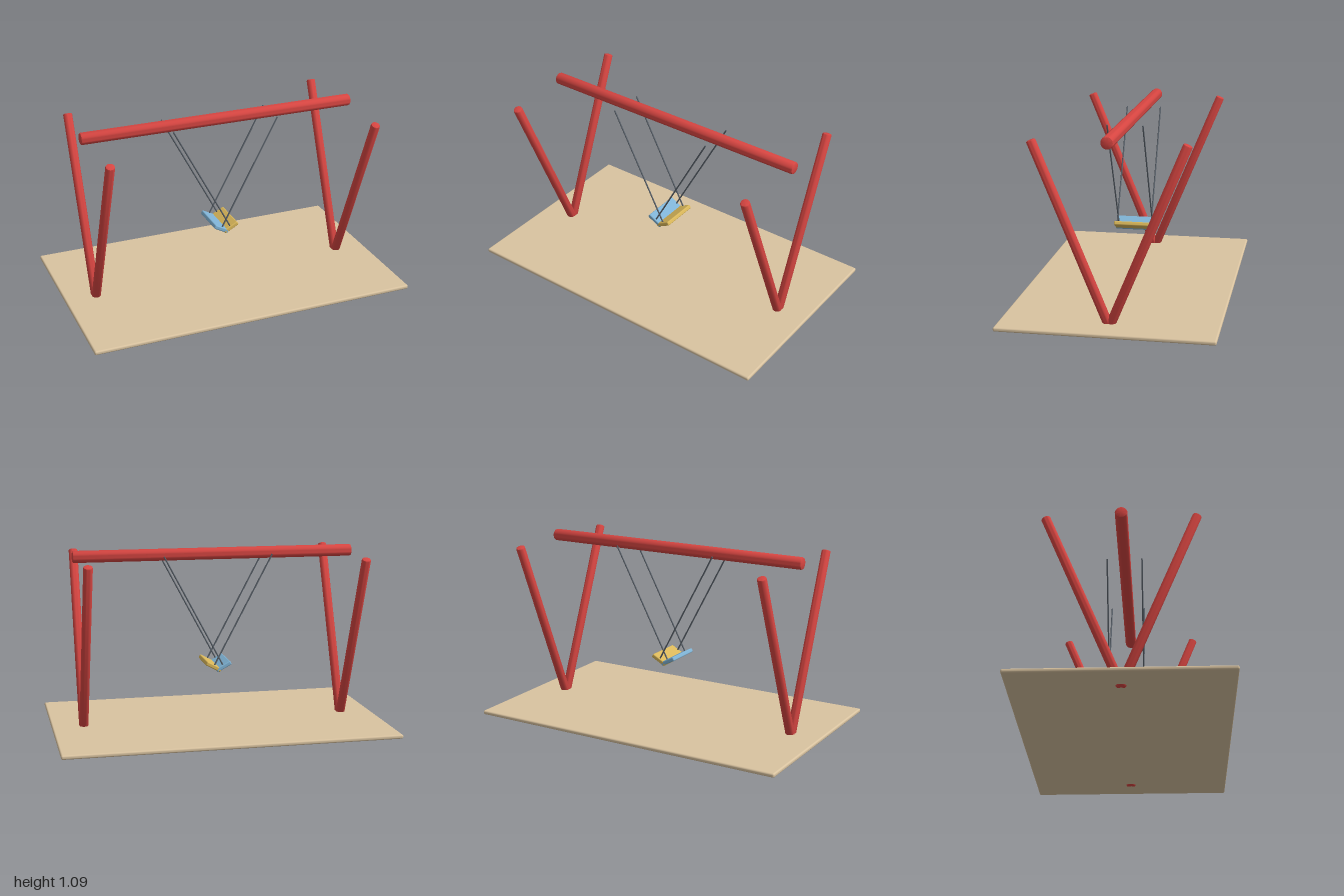
import * as THREE from 'three';
import { RoundedBoxGeometry } from 'three/addons/geometries/RoundedBoxGeometry.js';
import { toCreasedNormals } from 'three/addons/utils/BufferGeometryUtils.js';

const material = (name, color) => {
  const m = new THREE.MeshStandardMaterial({ color });
  m.name = name;
  return m;
};

export function createModel() {
  const red = material('red paint', 0xd64541);
  const sand = material('sand', 0xd9c3a0);
  const blue = material('blue seat', 0x7fb3d5);
  const yellow = material('yellow seat', 0xd9b75a);
  const steel = material('rope grey', 0x5a626b);

  const group = new THREE.Group();
  group.name = 'swingSet';

  const add = (parent, name, geometry, mat, x = 0, y = 0, z = 0) => {
    const mesh = new THREE.Mesh(geometry, mat);
    mesh.name = name;
    mesh.position.set(x, y, z);
    parent.add(mesh);
    return mesh;
  };

  // Round pole between two points, with softly bevelled ends
  const pole = (name, from, to, r, bevel) => {
    const half = from.distanceTo(to) / 2;
    const b = bevel;
    const profile = [
      [0, -half], [r - b, -half], [r - b * 0.3, -half + b * 0.3], [r, -half + b],
      [r, half - b], [r - b * 0.3, half - b * 0.3], [r - b, half], [0, half],
    ].map(([x, y]) => new THREE.Vector2(x, y));
    const geometry = toCreasedNormals(new THREE.LatheGeometry(profile, 24), 0.7);
    const mesh = add(group, name, geometry, red);
    mesh.position.copy(from).add(to).multiplyScalar(0.5);
    mesh.quaternion.setFromUnitVectors(
      new THREE.Vector3(0, 1, 0), to.clone().sub(from).normalize());
  };

  // Ground pad
  add(group, 'groundPad', new RoundedBoxGeometry(2, 0.025, 1.234, 3, 0.01), sand, 0, 0.0225, 0);

  // Top beam
  pole('topBeam', new THREE.Vector3(-0.857, 1.057, 0), new THREE.Vector3(0.857, 1.057, 0), 0.036, 0.01);

  // V-shaped leg pairs
  for (const sx of [-1, 1]) {
    for (const sz of [-1, 1]) {
      pole(`${sx > 0 ? 'left' : 'right'}${sz > 0 ? 'Front' : 'Back'}Leg`,
        new THREE.Vector3(sx * 0.81, 0.009, 0),
        new THREE.Vector3(sx * 0.81, 1.053, sz * 0.43), 0.027, 0.008);
    }
  }

  // Two swings, each hanging from its pivot and swung toward the middle
  const ropeLength = 0.765;
  const swing = (name, pivotX, angle, seatMaterial) => {
    const s = new THREE.Group();
    s.name = name;
    s.position.set(pivotX, 1.057, 0);
    s.rotation.z = angle;
    group.add(s);
    add(s, 'seat', new RoundedBoxGeometry(0.1, 0.025, 0.234, 3, 0.007), seatMaterial, 0, -ropeLength, 0);
    for (const z of [-0.105, 0.105]) {
      add(s, 'rope', new THREE.CylinderGeometry(0.0045, 0.0045, ropeLength, 10), steel, 0, -ropeLength / 2, z);
    }
  };
  swing('yellowSwing', -0.33, 0.489, yellow);
  swing('blueSwing', 0.327, -0.489, blue);

  return group;
}
